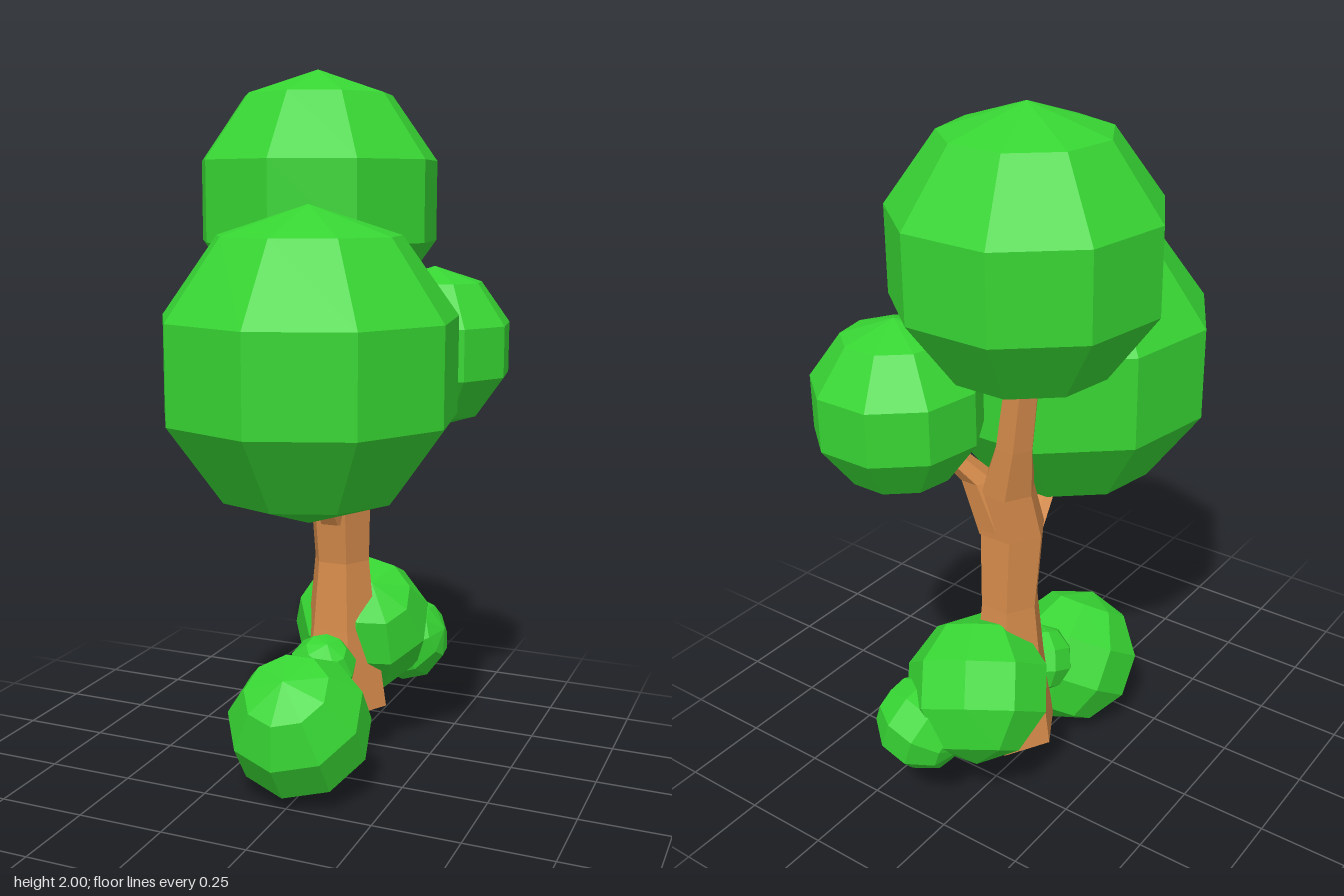
import * as THREE from 'three';

const leafMat = new THREE.MeshStandardMaterial({ color: 0x37d533, flatShading: true });
const barkMat = new THREE.MeshStandardMaterial({ color: 0xd48a4a, flatShading: true });

// Low-poly ball of leaves with a corner facing +z; tilt leans its pole
function leafBall(name, r, pos, tilt = [0, 0, 0]) {
  const mesh = new THREE.Mesh(new THREE.SphereGeometry(r, 9, 5, Math.PI / 2), leafMat);
  mesh.name = name;
  mesh.position.set(...pos);
  mesh.rotation.set(...tilt);
  return mesh;
}

// Six-sided limb lofted through level rings [x, y, z, radius]
function limb(name, rings, sides = 6) {
  const pos = [], idx = [];
  for (const [x, y, z, r] of rings) {
    for (let i = 0; i < sides; i++) {
      const a = (i / sides) * Math.PI * 2;
      pos.push(x + r * Math.cos(a), y, z - r * Math.sin(a));
    }
  }
  for (let k = 0; k < rings.length - 1; k++) {
    for (let i = 0; i < sides; i++) {
      const a = k * sides + i, b = k * sides + (i + 1) % sides;
      idx.push(a, b, b + sides, a, b + sides, a + sides);
    }
  }
  // End caps
  const top = (rings.length - 1) * sides;
  for (let i = 1; i < sides - 1; i++) {
    idx.push(0, i + 1, i, top, top + i, top + i + 1);
  }
  const geo = new THREE.BufferGeometry();
  geo.setAttribute('position', new THREE.Float32BufferAttribute(pos, 3));
  geo.setIndex(idx);
  geo.computeVertexNormals();
  const mesh = new THREE.Mesh(geo, barkMat);
  mesh.name = name;
  return mesh;
}

export function createModel() {
  const tree = new THREE.Group();
  tree.name = 'tree';

  // Trunk and the two side branches
  tree.add(
    limb('trunk', [
      [-0.01, 0.155, -0.19, 0.14],
      [-0.01, 0.4, -0.185, 0.105],
      [-0.01, 0.6, -0.183, 0.085],
      [-0.01, 0.82, -0.165, 0.095],
      [-0.01, 0.95, -0.185, 0.078],
      [-0.05, 1.1, -0.205, 0.055],
      [-0.1, 1.45, -0.21, 0.045],
    ]),
    limb('frontBranch', [
      [-0.01, 0.72, -0.13, 0.05],
      [-0.01, 0.79, -0.075, 0.04],
      [0.0, 0.86, 0.01, 0.03],
      [0.02, 1.0, 0.12, 0.025],
    ]),
    limb('backBranch', [
      [0.01, 0.82, -0.19, 0.065],
      [0.06, 0.98, -0.22, 0.05],
      [0.18, 1.15, -0.33, 0.03],
    ]),
  );

  // Crown
  tree.add(
    leafBall('topCrown', 0.364, [-0.098, 1.637, -0.21]),
    leafBall('frontCrown', 0.42, [0.04, 1.213, 0.18]),
    leafBall('backCrown', 0.238, [0.205, 1.213, -0.365]),
  );

  // Bushes around the foot of the trunk
  tree.add(
    leafBall('frontBush', 0.205, [0, 0.203, 0.152], [0.6, 0, 0]),
    leafBall('smallFrontBush', 0.1, [-0.01, 0.305, -0.035], [0.4, 0, -0.3]),
    leafBall('backBush', 0.21, [0.005, 0.362, -0.315], [0.6, 0, -0.35]),
    leafBall('smallBackBush', 0.135, [0.1, 0.285, -0.447], [0, 0, -1.25]),
  );

  return tree;
}
